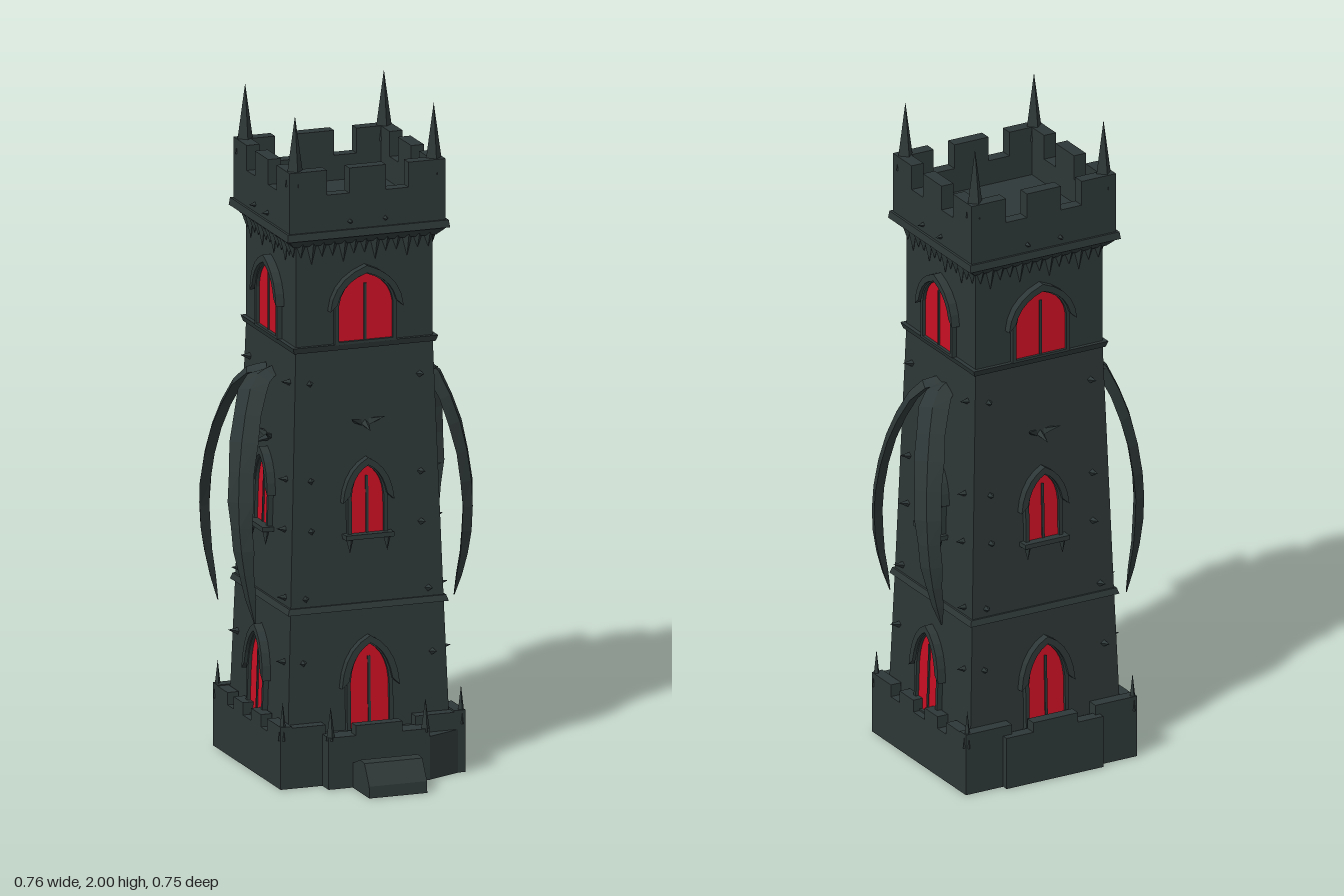
import * as THREE from 'three';

const stone = new THREE.MeshStandardMaterial({ color: 0x2e3737 });
stone.name = 'dark stone';
const glow = new THREE.MeshStandardMaterial({ color: 0xcc1024 });
glow.name = 'red glass';

// Faceted mesh with hard edges
function add(parent, name, geo, mat = stone, x = 0, y = 0, z = 0) {
  const g = geo.index ? geo.toNonIndexed() : geo;
  g.computeVertexNormals();
  const m = new THREE.Mesh(g, mat);
  m.name = name;
  m.position.set(x, y, z);
  parent.add(m);
  return m;
}

function group(parent, name) {
  const g = new THREE.Group();
  g.name = name;
  parent.add(g);
  return g;
}

// Box given by its limits
function box(parent, name, x0, x1, y0, y1, z0, z1, mat = stone) {
  return add(parent, name, new THREE.BoxGeometry(x1 - x0, y1 - y0, z1 - z0), mat,
    (x0 + x1) / 2, (y0 + y1) / 2, (z0 + z1) / 2);
}

// Square tapered block with half widths a (bottom) and b (top)
function frustum(parent, name, a, b, y0, y1) {
  const geo = new THREE.CylinderGeometry(b * Math.SQRT2, a * Math.SQRT2, y1 - y0, 4);
  return add(parent, name, geo.rotateY(Math.PI / 4), stone, 0, (y0 + y1) / 2, 0);
}

// Four-sided spike from a point along a direction
function spike(parent, name, p, dir, r, len, sides = 4) {
  const geo = new THREE.ConeGeometry(r, len, sides).translate(0, len / 2, 0);
  const m = add(parent, name, geo, stone, ...p);
  m.quaternion.setFromUnitVectors(new THREE.Vector3(0, 1, 0), new THREE.Vector3(...dir).normalize());
  return m;
}

// Half width of the tower wall at a height
function wall(y) {
  if (y < 0.52) return THREE.MathUtils.mapLinear(y, 0, 0.52, 0.256, 0.238);
  if (y < 1.3) return THREE.MathUtils.mapLinear(y, 0.52, 1.3, 0.238, 0.213);
  return 0.213;
}

// Pointed arch outline, half width w, spring height s, top h
function arch(target, w, s, h, y0 = 0) {
  target.moveTo(-w, y0);
  target.lineTo(w, y0);
  target.lineTo(w, s);
  target.quadraticCurveTo(w * 0.9, s + (h - s) * 0.75, 0, h);
  target.quadraticCurveTo(-w * 0.9, s + (h - s) * 0.75, -w, s);
  return target;
}

function extrude(shape, depth) {
  return new THREE.ExtrudeGeometry(shape, { depth, bevelEnabled: false, curveSegments: 5 });
}

// Glazed window with frame, hood and mullion, on the +z face
function windowAt(face, w, y, h, sill) {
  const g = group(face, 'window');
  g.position.set(0, y, wall(y));
  g.rotation.x = y < 1.29 ? -0.032 : 0;
  const s = h * 0.55;
  add(g, 'glass', extrude(arch(new THREE.Shape(), w, s, h), 0.006), glow);
  const frame = arch(new THREE.Shape(), w + 0.012, s, h + 0.015, -0.008);
  frame.holes.push(arch(new THREE.Path(), w, s, h));
  add(g, 'frame', extrude(frame, 0.016), stone);
  const hood = new THREE.Shape();
  hood.moveTo(w + 0.03, s - 0.015);
  hood.quadraticCurveTo(w + 0.022, s + (h - s) * 0.9, 0, h + 0.026);
  hood.quadraticCurveTo(-w - 0.022, s + (h - s) * 0.9, -w - 0.03, s - 0.015);
  hood.lineTo(-w - 0.008, s + 0.005);
  hood.quadraticCurveTo(-w * 0.9, s + (h - s) * 0.8, 0, h + 0.004);
  hood.quadraticCurveTo(w * 0.9, s + (h - s) * 0.8, w + 0.008, s + 0.005);
  add(g, 'hood', extrude(hood, 0.026), stone);
  box(g, 'mullion', -0.004, 0.004, 0, h * 0.85, 0, 0.01);
  if (sill) {
    box(g, 'sill', -w - 0.025, w + 0.025, -0.014, 0, -0.01, 0.035);
    for (const x of [-w - 0.008, w + 0.008]) spike(g, 'sillSpike', [x, -0.012, 0.018], [0, -1, 0], 0.012, 0.045);
  }
}

// Everything that repeats on each tower side, drawn on +z
function towerFace(parent, i) {
  const face = group(parent, 'towerFace');
  face.rotation.y = i * Math.PI / 2;
  windowAt(face, 0.06, 0.155, 0.25, false);
  windowAt(face, 0.05, 0.735, 0.2, true);
  windowAt(face, 0.084, 1.31, 0.2, false);
  // crenellated parapet wall
  const s = new THREE.Shape();
  const H = 0.2425, top = 1.835, low = 1.76;
  [[-H, 1.65], [H, 1.65], [H, top], [0.127, top], [0.127, low], [0.057, low], [0.057, top],
    [-0.057, top], [-0.057, low], [-0.127, low], [-0.127, top], [-H, top]]
    .forEach(([x, y], k) => (k ? s.lineTo(x, y) : s.moveTo(x, y)));
  add(face, 'parapet', extrude(s, 0.04), stone, 0, 0, H - 0.04);
  // dripping teeth under the cornice
  for (let k = 0; k < 13; k++) {
    const x = -0.198 + k * 0.033;
    spike(face, 'tooth', [x, 1.615, 0.216], [0, -1, 0], 0.017, k % 3 === 1 ? 0.068 : 0.045);
  }
  // studs
  for (const sx of [-1, 1]) {
    for (const [x, y] of [[0.17, 1.19], [0.17, 0.9], [0.17, 0.75], [0.19, 0.55], [0.2, 0.36]]) {
      spike(face, 'stud', [sx * x, y, wall(y) - 0.005], [sx * 0.15, 0.15, 1], 0.012, 0.035);
    }
    spike(face, 'stud', [sx * 0.055, 1.675, H - 0.005], [0, 0, 1], 0.01, 0.025);
  }
  // three-pronged claw
  const y = i % 2 ? 1.0 : 1.07;
  for (const dx of [-1, 0, 1]) {
    spike(face, 'prong', [dx * 0.012, y - 0.01, wall(y) - 0.01], [dx * 0.9, dx ? 0.45 : -0.2, 0.8], 0.014, 0.06);
  }
}

// Curved leaf-like blade hanging from a side wall
function blade(parent, sx, sz) {
  const cz = -0.09;
  const drop = sx < 0 ? 0.03 : 0;
  const curve = new THREE.CatmullRomCurve3([
    [0.205, 1.19, 0.02], [0.265, 1.17, 0.045], [0.325, 1.02, 0.105],
    [0.352, 0.82, 0.145], [0.342, 0.65, 0.155], [0.31, 0.5 - drop, 0.15],
  ].map(([x, y, z]) => new THREE.Vector3(sx * x, y, cz + sz * z)));
  const W = new THREE.Vector3(-sx * 0.7, 0, sz * 0.71);
  const half = [0.03, 0.037, 0.042, 0.046, 0.043, 0.046, 0.04, 0.042, 0.034, 0.034, 0.024, 0.018, 0.003];
  const n = half.length, pos = [], idx = [];
  for (let i = 0; i < n; i++) {
    const c = curve.getPoint(i / (n - 1)), T = curve.getTangent(i / (n - 1));
    const w = W.clone().addScaledVector(T, -W.dot(T)).normalize();
    const N = T.clone().cross(w);
    const t = 0.016 * Math.min(1, half[i] / 0.03);
    for (const [a, b] of [[half[i], 0], [0, t], [-half[i], 0], [0, -t]]) {
      pos.push(...c.clone().addScaledVector(w, a).addScaledVector(N, b).toArray());
    }
    if (!i) continue;
    for (let j = 0; j < 4; j++) {
      const a = (i - 1) * 4 + j, b = (i - 1) * 4 + (j + 1) % 4;
      idx.push(a, b, b + 4, a, b + 4, a + 4);
    }
  }
  const geo = new THREE.BufferGeometry();
  geo.setAttribute('position', new THREE.Float32BufferAttribute(pos, 3));
  geo.setIndex(idx);
  add(parent, 'blade', geo);
}

export function createModel() {
  const model = new THREE.Group();
  model.name = 'darkTower';

  // Tower shaft, ledges and battlement
  const tower = group(model, 'tower');
  tower.position.set(0.008, 0, -0.083);
  tower.scale.z = 0.94;
  frustum(tower, 'lowerShaft', wall(0.05), 0.238, 0.05, 0.52);
  frustum(tower, 'middleShaft', 0.238, 0.213, 0.52, 1.3);
  frustum(tower, 'upperShaft', 0.213, 0.213, 1.3, 1.62);
  frustum(tower, 'lowerLedge', 0.25, 0.244, 0.508, 0.526);
  frustum(tower, 'upperLedge', 0.22, 0.226, 1.285, 1.303);
  frustum(tower, 'corniceFlare', 0.222, 0.246, 1.605, 1.63);
  frustum(tower, 'cornice', 0.253, 0.25, 1.63, 1.652);
  frustum(tower, 'roofFloor', 0.21, 0.21, 1.64, 1.685);
  for (let i = 0; i < 4; i++) towerFace(tower, i);
  for (const sx of [-1, 1]) for (const sz of [-1, 1]) {
    spike(tower, 'cornerSpire', [sx * 0.216, 1.79, sz * 0.214], [0, 1, 0], 0.03, 0.21);
    blade(model, sx, sz);
  }

  // Base block with bays front and back
  const base = group(model, 'base');
  box(base, 'plinth', -0.28, 0.295, 0, 0.15, -0.355, 0.19);
  box(base, 'frontBay', -0.15, 0.165, 0, 0.155, 0.18, 0.24);
  box(base, 'backBay', -0.155, 0.17, 0, 0.16, -0.375, -0.34);
  for (const [a, b] of [[-0.28, -0.14], [0.14, 0.295]]) {
    box(base, 'frontMerlon', a, b, 0.14, 0.182, 0.155, 0.19);
    box(base, 'backMerlon', a, b, 0.14, 0.19, -0.355, -0.32);
  }
  box(base, 'bayMerlon', -0.065, 0.08, 0.15, 0.185, 0.205, 0.24);
  box(base, 'bayMerlon', -0.07, 0.08, 0.15, 0.19, -0.375, -0.34);
  for (const [x0, x1] of [[-0.28, -0.245], [0.26, 0.295]]) {
    for (const [a, b] of [[-0.355, -0.24], [-0.19, -0.115], [-0.05, 0.03], [0.08, 0.19]]) {
      box(base, 'sideMerlon', x0, x1, 0.14, 0.187, a, b);
    }
  }
  for (const [x, z] of [[-0.27, 0.18], [0.285, 0.18], [-0.27, -0.345], [0.285, -0.345], [-0.14, 0.23], [0.155, 0.23]]) {
    spike(base, 'baseSpike', [x, 0.145, z], [0, 1, 0], 0.014, Math.abs(x) < 0.2 ? 0.1 : 0.115);
  }

  // Rubble wedge beside the front bay
  const wedge = new THREE.Shape([[0.16, -0.24], [0.16, -0.18], [0.295, -0.18]].map(p => new THREE.Vector2(...p)));
  add(base, 'rubbleWedge', extrude(wedge, 0.13).rotateX(-Math.PI / 2));

  // Front step with a sloped nose
  const step = new THREE.Shape([[0.23, 0], [0.375, 0], [0.373, 0.035], [0.335, 0.095], [0.3, 0.098], [0.23, 0.07]]
    .map(p => new THREE.Vector2(-p[0], p[1])));
  add(base, 'frontStep', extrude(step, 0.18).rotateY(Math.PI / 2), stone, -0.075, 0, 0);
  return model;
}
